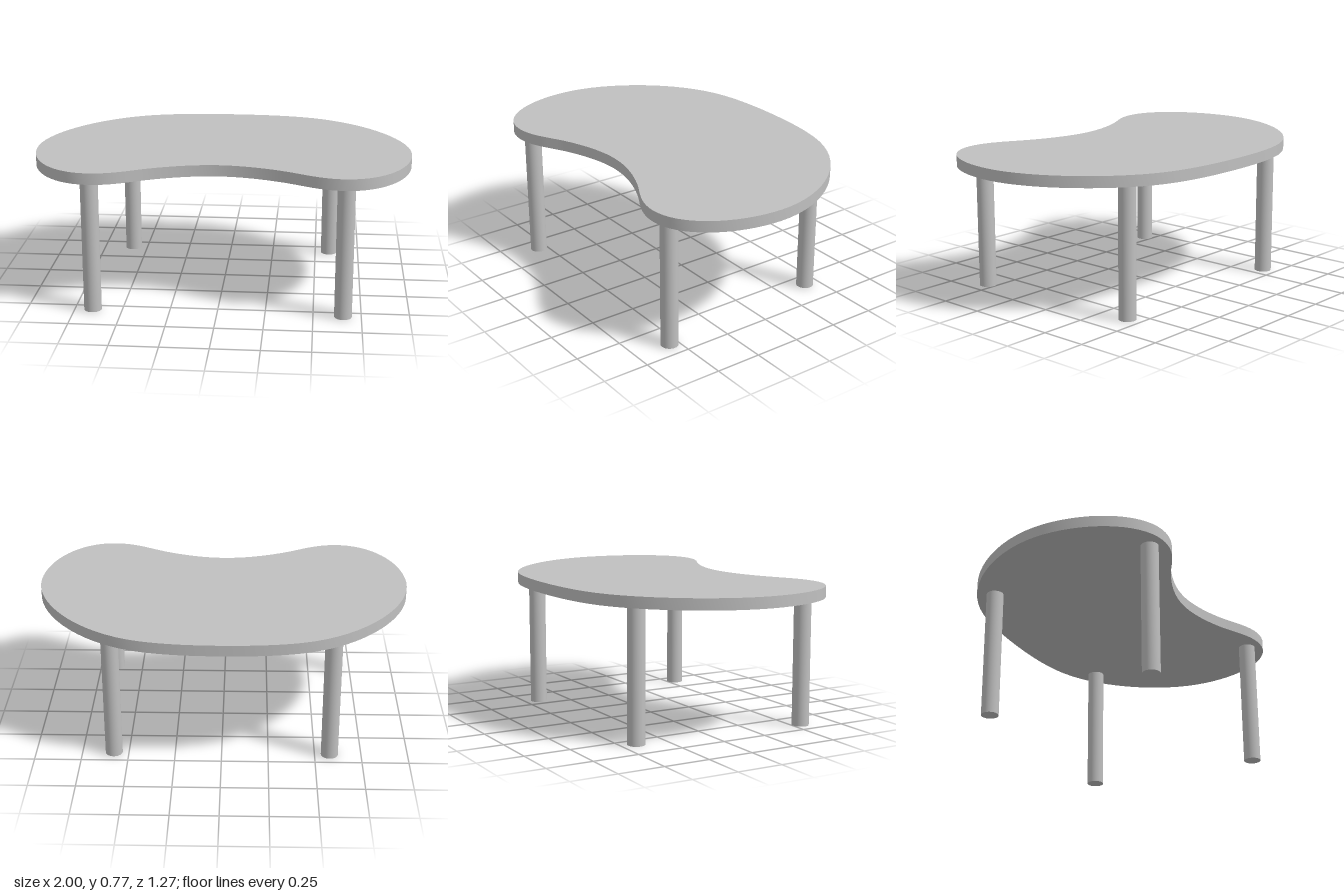
import * as THREE from 'three';
import { toCreasedNormals } from 'three/addons/utils/BufferGeometryUtils.js';

const LEG_HEIGHT = 0.71, TOP_THICKNESS = 0.06, LEG_RADIUS = 0.046;

// Right half of the kidney outline, back centre to front centre: [control 1, control 2, end] as x, z
const START = [0, -0.64];
const HALF = [
  [[0.15, -0.64], [0.29, -0.63], [0.41, -0.6]],
  [[0.74, -0.52], [1, -0.17], [1, 0.13]],
  [[1, 0.4], [0.85, 0.635], [0.645, 0.635]],
  [[0.52, 0.635], [0.44, 0.565], [0.34, 0.52]],
  [[0.24, 0.475], [0.12, 0.437], [0, 0.437]],
];

function kidneyShape() {
  const shape = new THREE.Shape();
  const add = (a, b, c) => shape.bezierCurveTo(a[0], -a[1], b[0], -b[1], c[0], -c[1]);
  const mirror = ([x, z]) => [-x, z];
  shape.moveTo(START[0], -START[1]);
  HALF.forEach(([a, b, c]) => add(a, b, c));
  // Walk the same curves backwards on the mirrored side
  for (let i = HALF.length - 1; i >= 0; i--) {
    const end = i > 0 ? HALF[i - 1][2] : START;
    add(mirror(HALF[i][1]), mirror(HALF[i][0]), mirror(end));
  }
  return shape;
}

export function createModel() {
  const table = new THREE.Group();
  table.name = 'table';
  const grey = new THREE.MeshStandardMaterial({ color: 0xc0c0c0 });
  grey.name = 'light grey';

  // Kidney-shaped table top
  const slab = new THREE.ExtrudeGeometry(kidneyShape(), {
    depth: TOP_THICKNESS, bevelEnabled: false, curveSegments: 16,
  });
  slab.rotateX(-Math.PI / 2);
  const top = new THREE.Mesh(toCreasedNormals(slab, 0.6), grey);
  top.name = 'tableTop';
  top.position.y = LEG_HEIGHT;
  table.add(top);

  // Four round legs, the back pair set slightly closer together
  const legGeometry = new THREE.CylinderGeometry(LEG_RADIUS, LEG_RADIUS, LEG_HEIGHT, 32);
  for (const [name, x, z] of [['front', 0.655, 0.548], ['back', 0.58, -0.418]]) {
    for (const side of [1, -1]) {
      const leg = new THREE.Mesh(legGeometry, grey);
      leg.name = name + (side > 0 ? 'LeftLeg' : 'RightLeg');
      leg.position.set(side * x, LEG_HEIGHT / 2, z);
      table.add(leg);
    }
  }
  return table;
}
